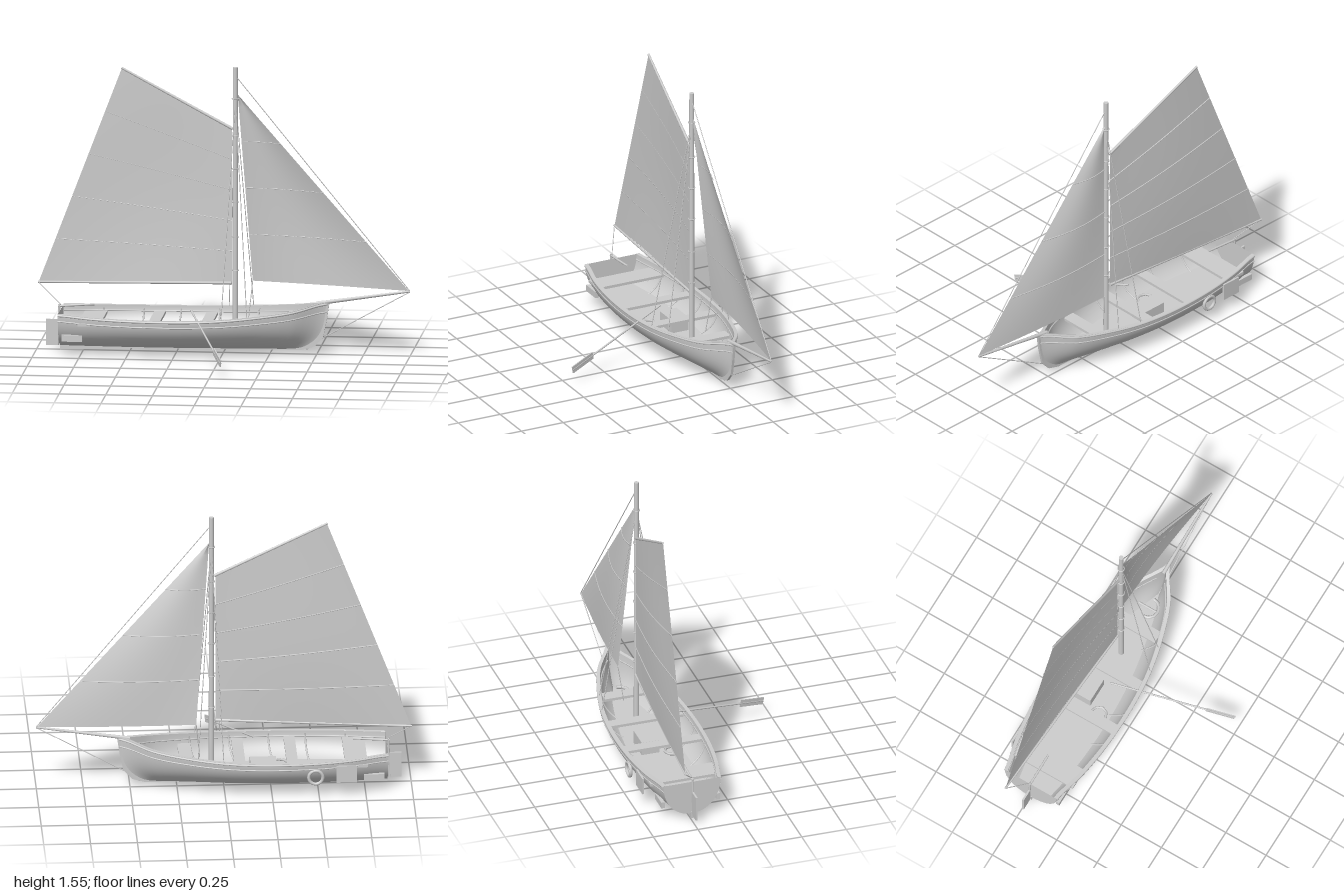
import * as THREE from 'three';
import { ParametricGeometry } from 'three/addons/geometries/ParametricGeometry.js';

const grey = new THREE.MeshStandardMaterial({ color: 0xcccccc, side: THREE.DoubleSide });
grey.name = 'pale grey';

const V = (x, y, z) => new THREE.Vector3(x, y, z);

export function createModel() {
  const model = new THREE.Group();
  model.name = 'sailingBoat';
  const boat = new THREE.Group();
  boat.name = 'boat';
  boat.position.z = -0.24; // the oar reaches far out to the front
  model.add(boat);

  const add = (name, geometry, x = 0, y = 0, z = 0) => {
    const mesh = new THREE.Mesh(geometry, grey);
    mesh.name = name;
    mesh.position.set(x, y, z);
    boat.add(mesh);
    return mesh;
  };
  const box = (name, x0, x1, y0, y1, z0, z1) =>
    add(name, new THREE.BoxGeometry(x1 - x0, y1 - y0, z1 - z0), (x0 + x1) / 2, (y0 + y1) / 2, (z0 + z1) / 2);
  const rod = (name, a, b, r, r2 = r, sides = 8) => {
    const mesh = add(name, new THREE.CylinderGeometry(r2, r, a.distanceTo(b), sides));
    mesh.position.copy(a).lerp(b, 0.5);
    mesh.quaternion.setFromUnitVectors(V(0, 1, 0), b.clone().sub(a).normalize());
    return mesh;
  };
  const rope = (name, a, b) => rod(name, a, b, 0.0025, 0.0025, 5);
  const tube = (name, points, r, n = 32) =>
    add(name, new THREE.TubeGeometry(new THREE.CatmullRomCurve3(points), n, r, 6));
  const surface = (name, f, nu, nv) =>
    add(name, new ParametricGeometry((u, v, target) => target.copy(f(u, v)), nu, nv));

  // Hull lines at even stations from transom to stem
  const curve = (values) => {
    const spline = new THREE.SplineCurve(values.map((y, i) => new THREE.Vector2(i, y)));
    return (u) => spline.getPoint(u).y;
  };
  const beam = curve([0.16, 0.2, 0.225, 0.235, 0.232, 0.213, 0.172, 0.11, 0.004]);
  const sheer = curve([0.22, 0.212, 0.208, 0.207, 0.209, 0.216, 0.23, 0.25, 0.285]);
  const hullPoint = (u, v, side, inset = 0) => {
    const a = v * Math.PI / 2;
    const h = 1 - Math.cos(a) ** 0.95;
    const stem = 0.56 - 0.02 * (1 - h) - 0.09 * (1 - h) ** 4;
    const keel = 0.028 + inset;
    return V(
      -0.87 + u * (stem + 0.87 - inset),
      keel + (sheer(u) - keel) * h,
      side * Math.max(0, beam(u) - inset) * Math.sin(a) ** (0.92 + 0.3 * u * u)
    );
  };
  const range = (n, f) => Array.from({ length: n + 1 }, (_, i) => f(i / n));

  for (const side of [1, -1]) {
    surface('hullSide', (u, v) => hullPoint(u, v, side), 48, 16);
    surface('hullLining', (u, v) => hullPoint(u, v, side, 0.012), 48, 16);
    // Flat gunwale cap and rubbing strakes
    surface('gunwaleCap', (u, v) => {
      const p = hullPoint(u, 1, side);
      p.y += 0.002;
      p.z = side * Math.max(0, beam(u) + 0.004 - 0.02 * v);
      return p;
    }, 48, 1);
    tube('gunwale', range(32, (u) => hullPoint(u, 0.98, side)), 0.006, 64);
    tube('rubbingStrake', range(32, (u) => hullPoint(u, 0.88, side)), 0.004, 64);
    tube('inwale', range(24, (u) => hullPoint(u * 0.95, 0.9, side, 0.014)), 0.004, 48);
    // Frames inside the hull
    for (const u of [0.15, 0.3, 0.44, 0.59, 0.74]) {
      tube('rib', range(10, (t) => hullPoint(u, 0.25 + t * 0.7, side, 0.014)), 0.005, 16);
    }
    // Shrouds
    rope('shroud', V(0.065, 1.38, 0), V(0.01, 0.215, side * 0.212));
    rope('shroud', V(0.065, 1.38, 0), V(0.145, 0.222, side * 0.182));
    box('sternFin', -0.85, -0.74, 0.075, 0.11, side * 0.155 - 0.01, side * 0.155 + 0.01);
  }

  // Transom, floor and keel
  surface('transom', (u, v) => {
    const p = hullPoint(0, v, 1);
    p.z *= 2 * u - 1;
    return p;
  }, 8, 16);
  surface('floor', (u, v) => {
    const p = hullPoint(u * 0.96, 0.44, 1, 0.01);
    p.z *= 2 * v - 1;
    p.y = 0.075;
    return p;
  }, 32, 4);
  const keel = new THREE.Shape([
    [-0.875, 0], [-0.4, 0.02], [0.42, 0.025], [0.49, 0.045], [0.535, 0.095], [0.555, 0.19],
    [0.57, 0.29], [0.55, 0.29], [0.535, 0.19], [0.5, 0.1], [0.42, 0.05], [-0.4, 0.035], [-0.875, 0.04]
  ].map(([x, y]) => new THREE.Vector2(x, y)));
  add('keelAndStem', new THREE.ExtrudeGeometry(keel, { depth: 0.014, bevelEnabled: false }), 0, 0, -0.007);

  // Thwarts
  box('sternBench', -0.76, -0.64, 0.165, 0.18, -0.195, 0.195);
  box('thwart', -0.39, -0.33, 0.165, 0.18, -0.215, 0.215);
  box('thwart', -0.11, -0.05, 0.165, 0.18, -0.205, 0.205);
  box('foreThwart', 0.17, 0.24, 0.165, 0.18, -0.145, 0.145);

  // Loose gear on the floor
  box('chest', -0.28, -0.14, 0.075, 0.15, -0.085, 0.015);
  const coil = add('ropeCoil', new THREE.TorusGeometry(0.042, 0.007, 6, 8), -0.3, 0.085, 0.08);
  coil.rotation.x = Math.PI / 2;
  const anchor = add('anchorArms', new THREE.TorusGeometry(0.055, 0.009, 6, 6, Math.PI), 0.35, 0.1, 0.0);
  anchor.rotation.x = Math.PI / 2;
  rod('anchorShank', V(0.35, 0.1, -0.06), V(0.35, 0.1, 0.055), 0.006);

  // Rudder and tiller
  box('rudder', -0.95, -0.885, 0.025, 0.165, -0.005, 0.005);
  rod('rudderStock', V(-0.887, 0.025, 0), V(-0.878, 0.245, 0), 0.006);
  rod('tiller', V(-0.885, 0.236, 0), V(-0.69, 0.25, 0), 0.006);

  // Life ring and fender board on the far side
  add('lifeRing', new THREE.TorusGeometry(0.038, 0.009, 8, 16), -0.48, 0.125, -0.225);
  box('fenderBoard', -0.7, -0.59, 0.09, 0.185, -0.222, -0.212);

  // Spars
  rod('mast', V(0.065, 0.06, 0), V(0.065, 1.55, 0), 0.015, 0.013, 12);
  rod('bowsprit', V(0.5, 0.278, 0), V(1, 0.353, 0), 0.011, 0.006);
  rod('boom', V(0.045, 0.378, -0.01), V(-1, 0.35, -0.08), 0.008, 0.006);
  rod('gaff', V(0.05, 1.215, -0.008), V(-0.55, 1.525, -0.055), 0.008, 0.006);
  for (const y of [0.45, 0.63, 0.82, 1.0, 1.18, 1.38]) {
    const hoop = add('mastHoop', new THREE.TorusGeometry(0.017, 0.003, 6, 12), 0.065, y, 0);
    hoop.rotation.x = Math.PI / 2;
  }

  // Sails: four corners with a belly toward the lee side, and raised seams
  const sail = (name, foot0, foot1, head0, head1, belly, seams) => {
    const point = (u, v) => {
      const p = foot0.clone().lerp(foot1, u).lerp(head0.clone().lerp(head1, u), v);
      p.z -= belly * Math.sin(Math.PI * u) * (0.3 + 0.7 * Math.sin(Math.PI * v)) * (1 - v * 0.5);
      return p;
    };
    surface(name, point, 16, 16);
    for (const v of seams) {
      tube(name + 'Seam', range(12, (u) => point(u, v).add(V(0, 0, -0.002))), 0.003, 24);
    }
  };
  sail('mainsail', V(0.045, 0.385, -0.01), V(-0.995, 0.355, -0.08),
    V(0.045, 1.215, -0.01), V(-0.55, 1.52, -0.055), 0.022, [0.2, 0.4, 0.6, 0.8]);
  sail('jib', V(0.15, 0.38, -0.075), V(0.995, 0.355, 0),
    V(0.078, 1.4, 0), V(0.08, 1.4, 0), 0.035, [0.25, 0.5, 0.75]);

  // Standing and running rigging
  rope('forestay', V(0.07, 1.5, 0), V(1, 0.355, 0));
  rope('bobstay', V(1, 0.35, 0), V(0.53, 0.09, 0));
  rope('mainsheet', V(-1, 0.35, -0.08), V(-0.87, 0.245, 0));
  rope('jibSheet', V(0.15, 0.38, -0.075), V(0.13, 0.18, -0.05));

  // Oar
  const handle = V(-0.165, 0.24, 0.07), tip = V(0.06, 0.078, 0.71);
  rod('oarShaft', handle, tip, 0.005);
  const blade = add('oarBlade', new THREE.BoxGeometry(0.006, 0.04, 0.16));
  blade.position.copy(handle).lerp(tip, 0.885);
  blade.lookAt(tip.clone().add(boat.position));

  return model;
}
